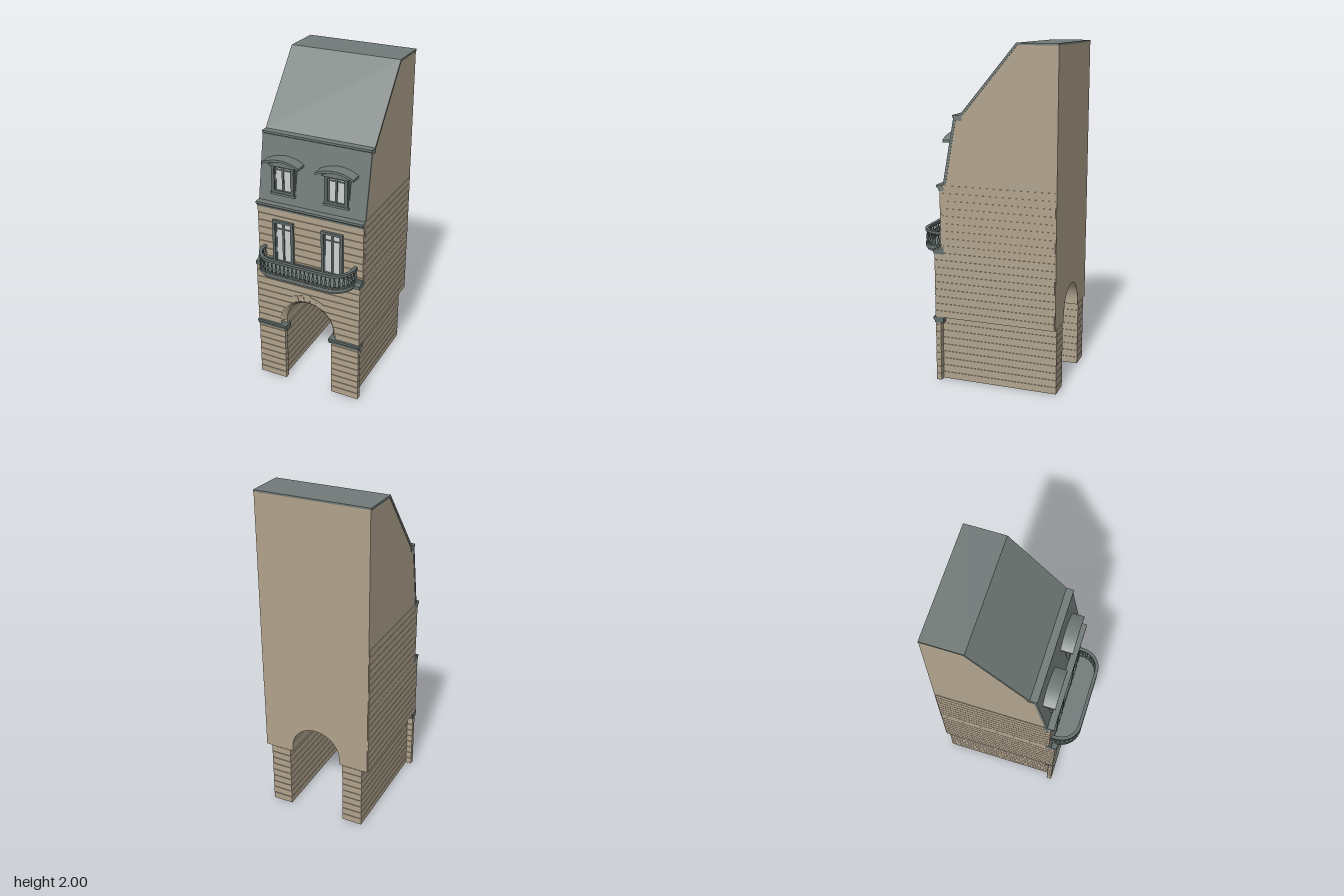
import * as THREE from 'three';

const mat = (name, hex) => Object.assign(new THREE.MeshStandardMaterial({ color: hex }), { name });

export function createModel() {
  const stone = mat('stone', 0xb1a38d);
  const slate = mat('slate', 0x717b78);
  const trim = mat('darkTrim', 0x616d6a);
  const glass = mat('glass', 0xcdd1d1);
  const model = new THREE.Group();
  model.name = 'archHouse';

  const add = (parent, name, geo, m) => {
    const mesh = new THREE.Mesh(geo, m);
    mesh.name = name;
    parent.add(mesh);
    return mesh;
  };
  const group = (name, parent = model) => {
    const g = new THREE.Group();
    g.name = name;
    parent.add(g);
    return g;
  };
  // Box given by its limits
  const box = (parent, name, m, x0, x1, y0, y1, z0, z1) =>
    add(parent, name, new THREE.BoxGeometry(x1 - x0, y1 - y0, z1 - z0)
      .translate((x0 + x1) / 2, (y0 + y1) / 2, (z0 + z1) / 2), m);
  // Front-facing shape extruded from z0 to z1
  const frontPlate = (parent, name, m, shape, z0, z1) =>
    add(parent, name, new THREE.ExtrudeGeometry(shape, { depth: z1 - z0, bevelEnabled: false, curveSegments: 16 })
      .translate(0, 0, z0), m);
  const poly = (pts) => new THREE.Shape(pts.map(([x, y]) => new THREE.Vector2(x, y)));
  // Profile of [z, y] points swept along x
  const sweepX = (parent, name, m, pts, x0, x1) =>
    add(parent, name, new THREE.ExtrudeGeometry(poly(pts), { depth: x1 - x0, bevelEnabled: false })
      .rotateY(-Math.PI / 2).translate(x1, 0, 0), m);

  const GAP = 0.004, BACK = -0.425, W = 0.339, IN = W - GAP;
  // Calls fn(bottom, top) for each stone course
  const courses = (y0, y1, n, fn) => {
    const h = (y1 - y0) / n;
    for (let i = 0; i < n; i++) fn(y0 + i * h + GAP / 2, y0 + (i + 1) * h - GAP / 2);
  };
  const mirror = [-1, 1];

  // Ground floor: passage piers and front pilasters
  const SPRING = 0.43;
  for (const s of mirror) {
    const pier = group(s < 0 ? 'rightPier' : 'leftPier');
    const span = (a, b) => (s < 0 ? [-b, -a] : [a, b]);
    const blocks = (name, a, b, z0, z1) => {
      box(pier, name + 'Core', stone, ...span(a + GAP, b - GAP), 0, 0.4, z0 + GAP, z1 - GAP);
      courses(0, 0.4, 9, (p, q) => box(pier, name + 'Course', stone, ...span(a, b), p, q, z0, z1));
    };
    blocks('passageWall', 0.175, 0.3, BACK, 0.28);
    blocks('pilaster', 0.157, 0.336, 0.279, 0.31);
    sweepX(pier, 'impost', trim,
      [[0.26, 0.367], [0.313, 0.367], [0.315, 0.38], [0.323, 0.387], [0.323, 0.402], [0.26, 0.402]], ...span(0.143, 0.34));
  }

  // Storey over the passage, cut by the arch
  const archStorey = group('archStorey');
  const archShape = (r) => {
    const s = new THREE.Shape();
    s.moveTo(-IN, 0.4);
    s.lineTo(-r, 0.4);
    s.lineTo(-r, SPRING);
    s.absarc(0, SPRING, r, Math.PI, 0, true);
    s.lineTo(r, 0.4);
    s.lineTo(IN, 0.4);
    s.lineTo(IN, 0.8);
    s.lineTo(-IN, 0.8);
    return s;
  };
  const R1 = 0.156, R2 = 0.182;
  frontPlate(archStorey, 'archBody', stone, archShape(R1), BACK, 0.28);
  frontPlate(archStorey, 'archFront', stone, archShape(R2), 0.28, 0.306);
  const splay = new THREE.LatheGeometry(
    [[R2, 0.309], [0.17, 0.302], [0.168, 0.294], [R1, 0.28]].map(([r, z]) => new THREE.Vector2(r, z)),
    28, Math.PI / 2, Math.PI).rotateX(Math.PI / 2).translate(0, SPRING, 0);
  add(archStorey, 'archMoulding', splay, stone);
  const halfGap = (y) => (y < SPRING ? R2 : Math.sqrt(Math.max(0, R2 * R2 - (y - SPRING) ** 2)));
  courses(0.4, 0.8, 9, (p, q) => {
    for (const s of mirror) {
      const pts = [[s * W, p]];
      for (let i = 0; i <= 6; i++) {
        const y = p + (q - p) * i / 6;
        pts.push([s * halfGap(y), y]);
      }
      pts.push([s * W, q]);
      frontPlate(archStorey, 'frontCourse', stone, poly(pts), 0.306, 0.31);
    }
  });
  // Wedge stones at the crown
  for (let i = -2; i <= 2; i++) {
    const a = Math.PI / 2 + i * 0.2, r = i === 0 ? 0.235 : 0.222;
    const at = (rad, t) => [rad * Math.cos(t), SPRING + rad * Math.sin(t)];
    frontPlate(archStorey, 'voussoir', stone,
      poly([at(R2, a - 0.09), at(r, a - 0.09), at(r, a + 0.09), at(R2, a + 0.09)]), 0.306, 0.313);
  }

  // Upper body with the roof slope profile
  const upper = group('upperBody');
  sweepX(upper, 'bodyCore', stone, [[BACK, 0.8], [0.266, 0.8], [0.266, 1.18], [0.242, 1.2],
    [0.17, 1.59], [0.13, 1.6], [-0.195, 1.99], [BACK, 1.99]], -W + 0.002, W - 0.002);
  courses(0.8, 1.17, 8, (p, q) => box(upper, 'frontCourse', stone, -W, W, p, q, 0.25, 0.271));
  for (const s of mirror) {
    const side = s < 0 ? [-W, -IN] : [IN, W];
    courses(0.4, 0.8, 9, (p, q) => box(archStorey, 'sideCourse', stone, ...side, p, q, BACK + 0.005, 0.306));
    courses(0.8, 1.2, 9, (p, q) => box(upper, 'sideCourse', stone, side[0] - 0.001, side[1] + 0.001, p, q, BACK + 0.005, 0.252));
  }

  // Roof skin and cornices
  const roof = group('roof');
  sweepX(roof, 'lowerSlope', slate, [[0.236, 1.19], [0.252, 1.19], [0.18, 1.585], [0.165, 1.585]], -W, W);
  sweepX(roof, 'upperSlope', slate, [[0.128, 1.598], [0.145, 1.6], [-0.188, 2], [BACK, 2],
    [BACK, 1.988], [-0.195, 1.988]], -0.34, 0.34);
  sweepX(roof, 'roofCornice', slate, [[0.13, 1.572], [0.175, 1.572], [0.178, 1.585],
    [0.186, 1.59], [0.186, 1.602], [0.13, 1.602]], -0.34, 0.34);
  sweepX(roof, 'eavesCornice', slate, [[0.23, 1.165], [0.275, 1.165], [0.278, 1.178],
    [0.29, 1.187], [0.29, 1.2], [0.23, 1.2]], -0.34, 0.34);
  sweepX(model, 'floorBand', trim, [[0.25, 0.79], [0.313, 0.79], [0.318, 0.8], [0.318, 0.815],
    [0.285, 0.822], [0.282, 0.835], [0.25, 0.835]], -0.34, 0.34);

  // Glazed window with frame and bars
  const windowUnit = (parent, cx, hw, y0, y1, z, border, transom) => {
    const frame = poly([[cx - hw, y0], [cx + hw, y0], [cx + hw, y1], [cx - hw, y1]]);
    const a = hw - border, b = y1 - border;
    frame.holes.push(poly([[cx - a, y0 + border], [cx - a, b], [cx + a, b], [cx + a, y0 + border]]));
    frontPlate(parent, 'windowFrame', trim, frame, z, z + 0.016);
    box(parent, 'windowGlass', glass, cx - a, cx + a, y0 + border, b, z - 0.001, z + 0.003);
    box(parent, 'windowMullion', trim, cx - 0.006, cx + 0.006, y0 + border, b, z, z + 0.01);
    box(parent, 'windowTransom', trim, cx - a, cx + a, transom - 0.004, transom + 0.004, z, z + 0.008);
    for (const s of mirror)
      box(parent, 'windowSash', slate, cx + s * (a - 0.004) - 0.004, cx + s * (a - 0.004) + 0.004, y0 + border, b, z, z + 0.007);
  };
  for (const cx of [-0.168, 0.148]) windowUnit(group('tallWindow'), cx, 0.068, 0.82, 1.1, 0.271, 0.016, 1.045);

  // Dormers with curved hoods
  const hoodShape = (cx, hw, y, rise, drop) => {
    const s = new THREE.Shape();
    s.moveTo(cx - hw, y);
    s.lineTo(cx + hw, y);
    s.lineTo(cx + hw, y + drop);
    s.quadraticCurveTo(cx, y + drop + rise * 2, cx - hw, y + drop);
    return s;
  };
  const hoodBand = (cx, hw, y, rise, t) => {
    const s = new THREE.Shape();
    s.moveTo(cx - hw, y);
    s.quadraticCurveTo(cx, y + rise * 2, cx + hw, y);
    s.lineTo(cx + hw, y + t);
    s.quadraticCurveTo(cx, y + t + rise * 2, cx - hw, y + t);
    return s;
  };
  for (const cx of [-0.18, 0.157]) {
    const dormer = group('dormer');
    sweepX(dormer, 'dormerBody', slate, [[0.2, 1.255], [0.236, 1.255], [0.236, 1.45], [0.18, 1.45]], cx - 0.076, cx + 0.076);
    windowUnit(dormer, cx, 0.072, 1.26, 1.44, 0.236, 0.018, 1.405);
    box(dormer, 'dormerSill', slate, cx - 0.08, cx + 0.08, 1.25, 1.263, 0.215, 0.256);
    frontPlate(dormer, 'hoodBed', slate, hoodShape(cx, 0.085, 1.432, 0.018, 0.008), 0.185, 0.262);
    frontPlate(dormer, 'hoodTop', slate, hoodBand(cx, 0.117, 1.436, 0.029, 0.014), 0.185, 0.276);
  }

  // Balcony: D-shaped slab, balusters and rail
  const balcony = group('balcony');
  const outline = (d) => {
    const r = 0.125 - d, pts = [[-0.18 - r, 0.262]];
    for (let i = 0; i <= 10; i++) {
      const a = Math.PI - (i / 10) * Math.PI / 2;
      pts.push([-0.18 + r * Math.cos(a), 0.3 + r * Math.sin(a)]);
    }
    return pts.concat(pts.map(([x, z]) => [-x, z]).reverse());
  };
  const slab = (name, pts, y0, y1, m) =>
    add(balcony, name, new THREE.ExtrudeGeometry(poly(pts), { depth: y1 - y0, bevelEnabled: false })
      .rotateX(Math.PI / 2).translate(0, y1, 0), m);
  slab('slabLower', outline(0.01), 0.788, 0.803, slate);
  slab('slabUpper', outline(0), 0.803, 0.822, slate);
  const ring = (d0, d1) => outline(d0).concat(outline(d1).reverse());
  slab('bottomRail', ring(0.003, 0.019), 0.822, 0.83, trim);
  slab('handrail', ring(0, 0.02), 0.898, 0.914, trim);
  const baluster = new THREE.LatheGeometry([[0.007, 0.828], [0.004, 0.836], [0.0085, 0.852], [0.007, 0.862],
    [0.0035, 0.88], [0.0065, 0.9]].map(([r, y]) => new THREE.Vector2(r, y)), 8);
  const path = new THREE.CurvePath();
  const line = outline(0.01).map(([x, z]) => new THREE.Vector3(x, 0, z));
  for (let i = 1; i < line.length; i++) path.add(new THREE.LineCurve3(line[i - 1], line[i]));
  const COUNT = 30;
  for (let i = 0; i < COUNT; i++)
    add(balcony, 'baluster', baluster, trim).position.copy(path.getPointAt((i + 0.5) / COUNT));

  return model;
}
